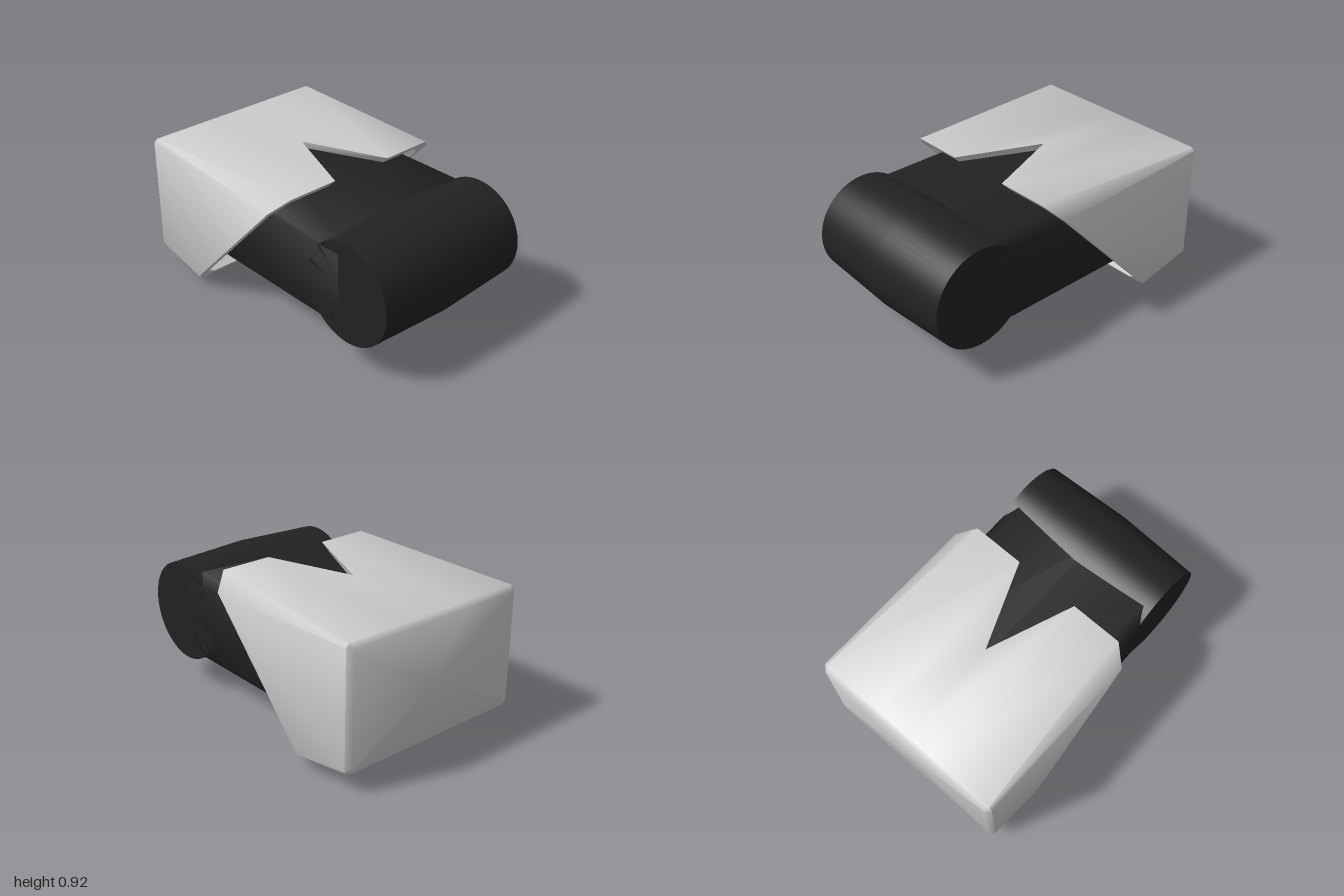
import * as THREE from 'three';
import { toCreasedNormals } from 'three/addons/utils/BufferGeometryUtils.js';

const grey = new THREE.MeshStandardMaterial({ color: 0xcccccc });
const black = new THREE.MeshStandardMaterial({ color: 0x222222 });

// Skins a series of equal-length closed rings of [x, y, z] points
function loft(rings, crease) {
  const pos = [];
  const tri = (...p) => {
    const [a, b, c] = p.map((q) => new THREE.Vector3(...q));
    if (b.clone().sub(a).cross(c.clone().sub(a)).length() > 1e-8) pos.push(...p.flat());
  };
  for (let r = 0; r < rings.length - 1; r++) {
    const A = rings[r], B = rings[r + 1], n = A.length;
    for (let i = 0; i < n; i++) {
      const j = (i + 1) % n;
      tri(A[i], B[i], A[j]);
      tri(A[j], B[i], B[j]);
    }
  }
  const geo = new THREE.BufferGeometry();
  geo.setAttribute('position', new THREE.Float32BufferAttribute(pos, 3));
  return toCreasedNormals(geo, crease);
}

// Mirrors the +x half of a ring (bottom to top) around its middle top point
const mirrorRing = (half, top) =>
  [...half, top, ...half.map(([x, y, z]) => [-x, y, z]).reverse()];

// Slanted cut that forms the hood's open front
const cutZ = (y) => 0.22 - (0.92 - y) * 0.951;
const onCut = (half) => half.map(([x, y]) => [x, y, cutZ(y)]);
const atZ = (half, z) => half.map(([x, y]) => [x, y, z]);

function hoodGeometry() {
  const outerFront = mirrorRing(
    onCut([[0.54, 0.005], [0.645, 0.08], [0.645, 0.83], [0.54, 0.92], [0.21, 0.92]]), [0, 0.909, -0.31]);
  const innerFront = mirrorRing(
    onCut([[0.5, 0.045], [0.595, 0.115], [0.595, 0.79], [0.51, 0.87], [0.225, 0.87]]), [0, 0.865, -0.33]);
  const backRing = (d, z) => mirrorRing(
    atZ([[0.615 - d, 0.12 + d], [0.637 - d, 0.15 + d], [0.637 - d, 0.875 - d], [0.615 - d, 0.895 - d], [0.21, 0.895 - d]], z),
    [0, 0.895 - d, z]);
  const point = (z) => outerFront.map(() => [0, 0.5, z]);
  return loft([
    point(-0.94), backRing(0.05, -0.94), innerFront, // lining
    outerFront, backRing(0, -0.97), backRing(0.028, -1), point(-1), // outer skin
  ], 0.9);
}

// Chamfered bar reaching back into the hood
function armGeometry() {
  const half = [[0.49, 0.225], [0.54, 0.285], [0.54, 0.74], [0.49, 0.8]];
  const ring = (z) => mirrorRing(atZ(half, z), [0, 0.8, z]);
  const point = (z) => ring(z).map(() => [0, 0.5, z]);
  return loft([point(0.6), ring(0.6), ring(-0.85), point(-0.85)], 0.9);
}

// Roller lying along x, slightly thicker in the middle
function rollerGeometry() {
  const profile = [[0, -0.54], [0.315, -0.54], [0.3375, 0], [0.315, 0.54], [0, 0.54]]
    .map(([r, y]) => new THREE.Vector2(r, y));
  const geo = new THREE.LatheGeometry(profile, 64).toNonIndexed();
  geo.rotateZ(Math.PI / 2);
  return toCreasedNormals(geo, 0.6);
}

export function createModel() {
  const model = new THREE.Group();
  const add = (name, geo, mat) => {
    const mesh = new THREE.Mesh(geo, mat);
    mesh.name = name;
    model.add(mesh);
    return mesh;
  };
  add('hood', hoodGeometry(), grey);
  add('arm', armGeometry(), black);
  add('roller', rollerGeometry(), black).position.set(0, 0.5125, 0.6625);
  return model;
}
